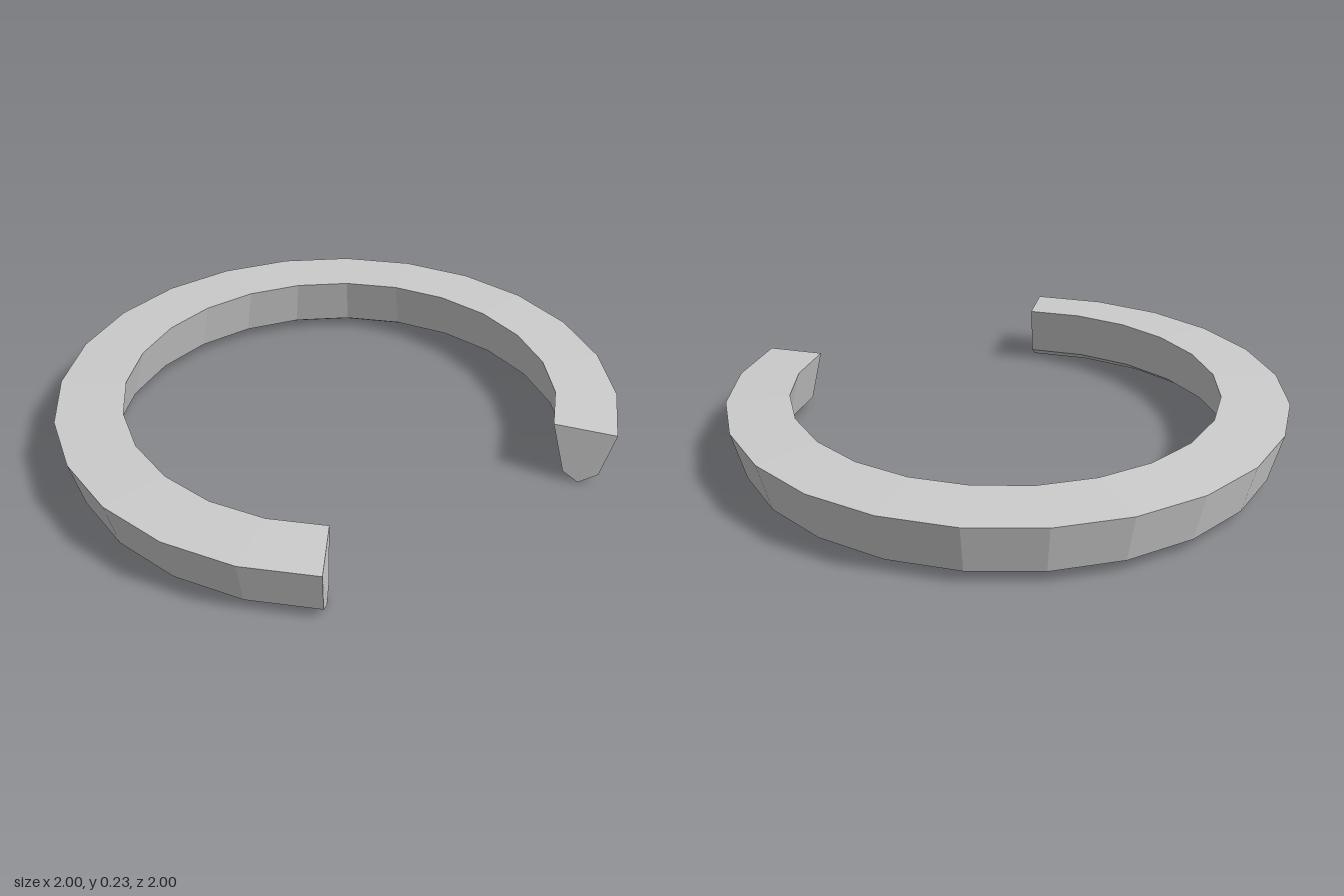
import * as THREE from 'three';

const SEGMENTS = 19;                 // 19 steps of 15 degrees leave a 75 degree gap
const STEP = Math.PI / 12;
const START = Math.PI / 2;           // first end faces the gap at the front

// Cross-section: radius, height, shift of the circle's centre along x and z
const PROFILE = [
  [1.0, 0.22, 0],                    // outer top
  [0.955, 0.045, 0],                 // outer bevel
  [0.88, 0, 0.007],                  // bottom ridge
  [0.82, 0.038, 0.01],               // inner bevel
  [0.77, 0.23, 0.01],                // inner top
];

function openRingGeometry() {
  const n = PROFILE.length;
  const positions = [];
  const index = [];

  for (let i = 0; i <= SEGMENTS; i++) {
    const angle = START + i * STEP;
    for (const [r, y, shift] of PROFILE) {
      positions.push(r * Math.cos(angle) + shift, y, r * Math.sin(angle) + shift);
    }
  }

  // Walls between neighbouring cross-sections
  for (let i = 0; i < SEGMENTS; i++) {
    for (let j = 0; j < n; j++) {
      const a = i * n + j;
      const b = i * n + (j + 1) % n;
      index.push(a, a + n, b + n, a, b + n, b);
    }
  }

  // End caps
  const last = SEGMENTS * n;
  for (let j = 1; j < n - 1; j++) {
    index.push(0, j, j + 1);
    index.push(last, last + j + 1, last + j);
  }

  const indexed = new THREE.BufferGeometry();
  indexed.setAttribute('position', new THREE.Float32BufferAttribute(positions, 3));
  indexed.setIndex(index);
  const geometry = indexed.toNonIndexed();
  geometry.computeVertexNormals();
  return geometry;
}

export function createModel() {
  const group = new THREE.Group();
  group.name = 'openRing';
  const material = new THREE.MeshStandardMaterial({ color: 0xcccccc, flatShading: true });
  const ring = new THREE.Mesh(openRingGeometry(), material);
  ring.name = 'ringBand';
  group.add(ring);
  return group;
}
